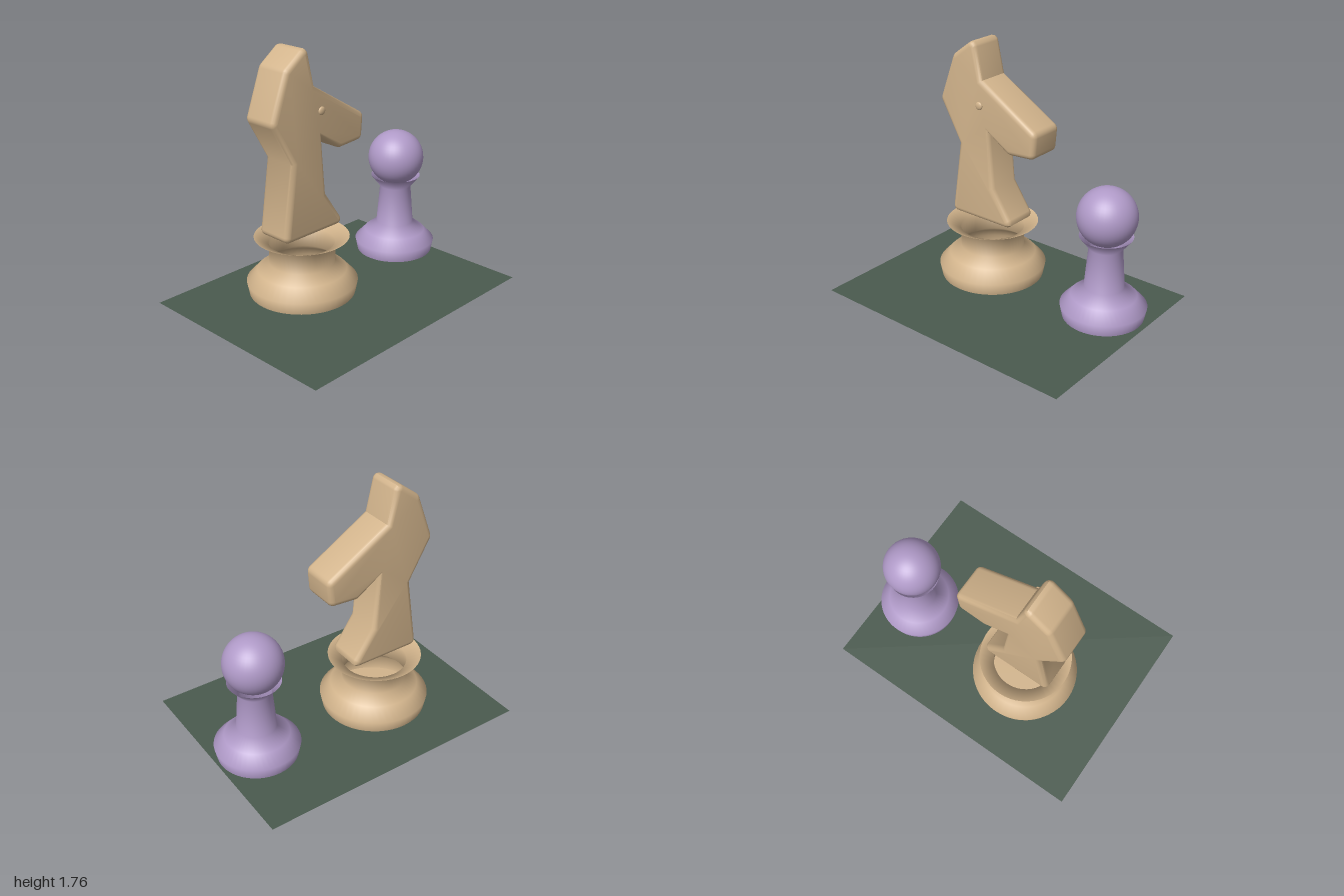
import * as THREE from 'three';
import { toCreasedNormals } from 'three/addons/utils/BufferGeometryUtils.js';

const V = (x, y) => new THREE.Vector2(x, y);
const Z = -0.133; // both pieces stand on this line

function material(name, color, side = THREE.FrontSide) {
  const m = new THREE.MeshStandardMaterial({ color, side });
  m.name = name;
  return m;
}

function add(parent, name, geometry, mat, x = 0, y = 0, z = 0) {
  const mesh = new THREE.Mesh(geometry, mat);
  mesh.name = name;
  mesh.position.set(x, y, z);
  parent.add(mesh);
  return mesh;
}

// Hollow turned pedestal with a flat floor at its lower rim
function turned(parent, name, profile, mat) {
  const points = profile.map(([r, y]) => V(r, y));
  add(parent, name, new THREE.LatheGeometry(points, 48), mat);
  const floor = add(parent, name + 'Floor', new THREE.CircleGeometry(profile[0][0], 48), mat, 0, profile[0][1]);
  floor.rotation.x = Math.PI / 2;
}

// Closed outline whose corners are rounded by distance r (0 = sharp)
function roundedOutline(corners) {
  const shape = new THREE.Shape();
  const n = corners.length;
  corners.forEach(([x, y, r], i) => {
    const p = V(x, y);
    const toward = (q) => V(q[0], q[1]).sub(p).setLength(r).add(p);
    const a = r ? toward(corners[(i + n - 1) % n]) : p;
    if (i === 0) shape.moveTo(a.x, a.y);
    else shape.lineTo(a.x, a.y);
    if (r) {
      const b = toward(corners[(i + 1) % n]);
      shape.quadraticCurveTo(x, y, b.x, b.y);
    }
  });
  shape.closePath();
  return shape;
}

export function createModel() {
  const tan = material('tan wood', 0xd2b48c, THREE.DoubleSide);
  const purple = material('soft purple', 0xb09ac8, THREE.DoubleSide);
  const green = material('dark green', 0x4a5a4e, THREE.DoubleSide);
  const model = new THREE.Group();
  model.name = 'chessPieces';

  // Flat board
  const board = add(model, 'board', new THREE.PlaneGeometry(1.98, 1.51), green, -0.01, 0, 0);
  board.rotation.x = -Math.PI / 2;

  // Knight pedestal, flaring into an open rim
  const knight = new THREE.Group();
  knight.name = 'knight';
  knight.position.set(-0.25, 0, Z);
  model.add(knight);
  turned(knight, 'knightBase', [
    [0.363, 0.05], [0.38, 0.135], [0.305, 0.215], [0.225, 0.27], [0.225, 0.41], [0.323, 0.455],
  ], tan);

  // Horse head: face outline, grown outward by the rounded bevel
  const bevel = 0.035;
  const r = 0.009;
  const outline = roundedOutline([
    [-0.474, 0.535, r], [-0.028, 0.535, r], // foot
    [-0.174, 0.748, 0], [-0.203, 1.2, 0], // chest and throat
    [0.0, 1.078, r], [0.172, 1.09, r], [0.183, 1.219, r], // jaw and muzzle
    [-0.265, 1.488, 0], [-0.32, 1.727, r], // brow and ear
    [-0.452, 1.628, r], [-0.565, 1.325, r], [-0.4, 1.037, 0], // mane
  ]);
  const headGeometry = new THREE.ExtrudeGeometry(outline, {
    depth: 0.265 - 2 * bevel, bevelSize: bevel, bevelThickness: bevel, bevelSegments: 4, curveSegments: 4,
  });
  add(knight, 'horseHead', toCreasedNormals(headGeometry, 0.7), tan, 0.25, 0, -0.265 + bevel - Z);

  // Eye, a flattened bead in front of the face
  const eye = add(knight, 'eye', new THREE.SphereGeometry(0.028, 20, 12), tan, 0.032, 1.354, 0.036 - Z);
  eye.scale.z = 0.45;

  // Pawn
  const pawn = new THREE.Group();
  pawn.name = 'pawn';
  pawn.position.set(0.707, 0, Z);
  model.add(pawn);
  turned(pawn, 'pawnBody', [
    [0.275, 0.05], [0.291, 0.13], [0.22, 0.205], [0.135, 0.27], [0.112, 0.55], [0.178, 0.633],
  ], purple);
  add(pawn, 'pawnHead', new THREE.SphereGeometry(0.2, 40, 28), purple, 0, 0.77, 0);

  return model;
}
